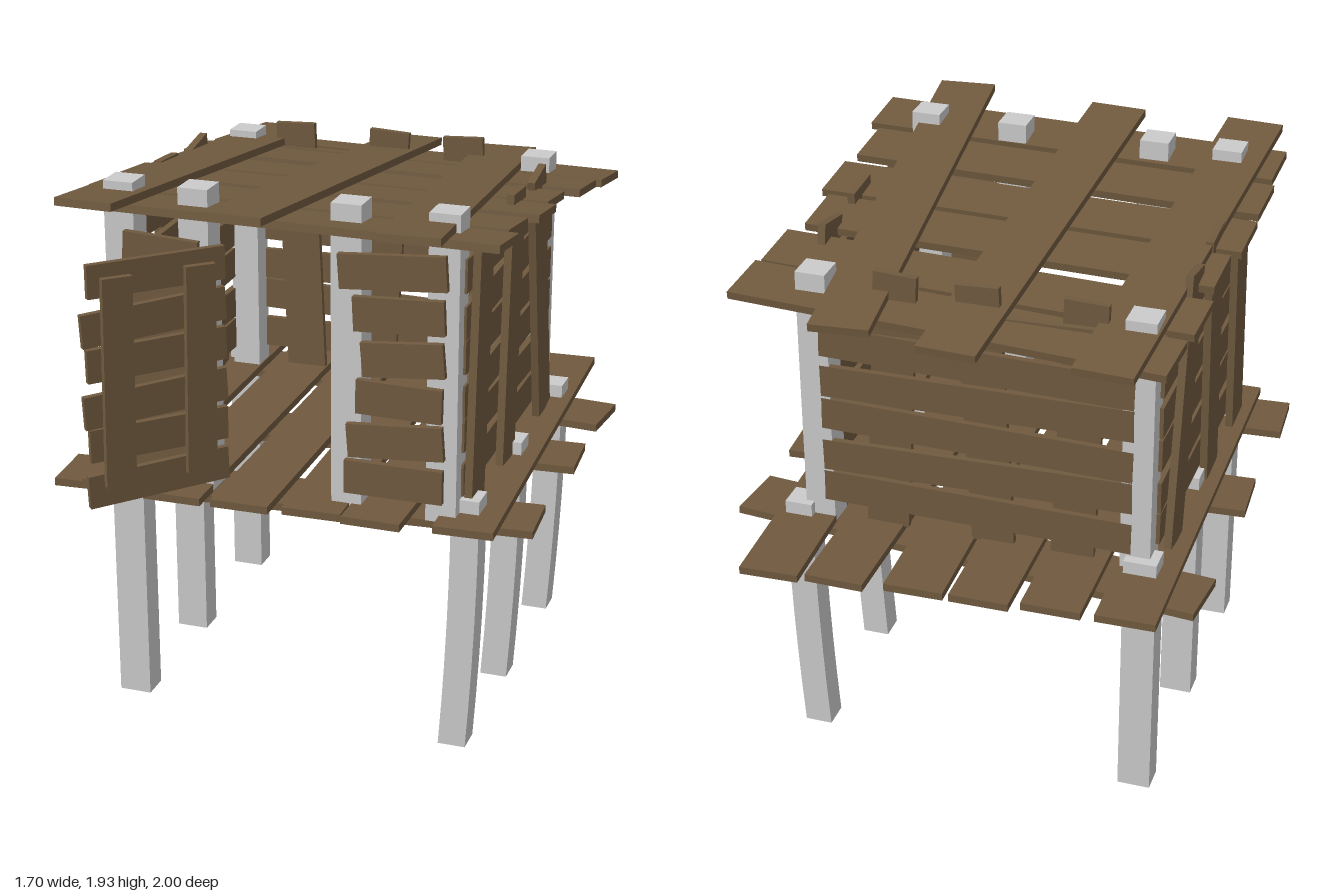
import * as THREE from 'three';

export function createModel() {
  const model = new THREE.Group();
  model.name = 'stiltHut';
  const wood = new THREE.MeshStandardMaterial({ color: 0x705a3f });
  wood.name = 'brown wood';
  const pale = new THREE.MeshStandardMaterial({ color: 0xcbcbcb });
  pale.name = 'pale post';

  const group = (name) => {
    const g = new THREE.Group();
    g.name = name;
    model.add(g);
    return g;
  };

  // A board running from a to b, its flat face turned towards "facing"
  function plank(parent, name, a, b, width, facing, thick = 0.027) {
    const A = new THREE.Vector3(...a), B = new THREE.Vector3(...b);
    const along = B.clone().sub(A);
    const length = along.length();
    along.normalize();
    const across = new THREE.Vector3(...facing).cross(along).normalize();
    const normal = along.clone().cross(across);
    const mesh = new THREE.Mesh(new THREE.BoxGeometry(width, thick, length), wood);
    mesh.quaternion.setFromRotationMatrix(new THREE.Matrix4().makeBasis(across, normal, along));
    mesh.position.copy(A).add(B).multiplyScalar(0.5);
    mesh.name = name;
    parent.add(mesh);
  }

  // Stilts: straight on the right side, bowed on the left
  const stilts = group('stilts');
  for (const side of [-1, 1]) {
    for (const z of [0.545, 0.005, -0.58]) {
      const geo = new THREE.BoxGeometry(side < 0 ? 0.115 : 0.097, 0.93, 0.097, 1, 6, 1);
      geo.translate(0, 0.465, 0);
      const p = geo.attributes.position;
      for (let i = 0; i < p.count; i++) {
        const t = 1 - p.getY(i) / 0.93;
        if (side > 0) p.setX(i, p.getX(i) - 0.033 * t * t);
      }
      geo.computeVertexNormals();
      const leg = new THREE.Mesh(geo, pale);
      leg.position.set(side * 0.612, 0, z - (side < 0 ? 0.008 : 0));
      leg.name = 'stilt';
      stilts.add(leg);
    }
  }

  // Wall posts, taller at the front
  const posts = group('wallPosts');
  for (const [x, z, top] of [[-0.585, 0.585, 1.925], [-0.32, 0.585, 1.925], [0.21, 0.585, 1.925],
    [0.54, 0.585, 1.925], [-0.585, -0.547, 1.81], [0.54, -0.547, 1.81]]) {
    const post = new THREE.Mesh(new THREE.BoxGeometry(0.105, top - 0.86, 0.105), pale);
    post.position.set(x, (top + 0.86) / 2, z);
    post.name = 'wallPost';
    posts.add(post);
  }

  // Floor: three cross beams under six deck boards
  const floor = group('floor');
  const up = [0, 1, 0];
  for (const [zl, zr] of [[0.595, 0.49], [0.02, -0.08], [-0.65, -0.49]]) {
    plank(floor, 'floorBeam', [-0.84, 0.842, zl], [0.84, 0.842, zr], 0.225, up);
  }
  for (const [xb, xf, zb, zf] of [[-0.635, -0.61, -0.9, 0.74], [-0.385, -0.37, -0.91, 0.77],
    [-0.145, -0.13, -0.935, 0.76], [0.08, 0.12, -0.94, 0.74], [0.35, 0.33, -0.97, 0.75],
    [0.575, 0.64, -0.99, 0.72]]) {
    plank(floor, 'deckBoard', [xb, 0.87, zb], [xf, 0.87, zf], 0.205, up);
  }

  // Sloping roof: six cross boards under three long boards
  const roof = group('roof');
  const slope = 0.098;
  const roofUp = [0, 1, -slope];
  for (const [xl, zl, xr, zr] of [[-0.72, -0.665, 0.8, -0.565], [-0.745, -0.42, 0.77, -0.35],
    [-0.735, -0.13, 0.72, -0.09], [-0.77, 0.105, 0.75, 0.145], [-0.77, 0.36, 0.72, 0.41],
    [-0.76, 0.605, 0.755, 0.65]]) {
    plank(roof, 'roofCrossBoard', [xl, 1.79 + slope * zl, zl], [xr, 1.79 + slope * zr, zr], 0.21, roofUp);
  }
  for (const [xb, zb, xf, zf] of [[-0.53, -0.85, -0.615, 0.85], [-0.02, -0.86, -0.105, 0.84],
    [0.355, -0.82, 0.495, 0.88]]) {
    plank(roof, 'roofLongBoard', [xb, 1.82 + slope * zb, zb], [xf, 1.82 + slope * zf, zf], 0.205, roofUp);
  }

  const rows = [1.0, 1.14, 1.28, 1.42, 1.555, 1.69];
  const tilts = [0.006, -0.012, 0.01, -0.006, 0.012, -0.014];

  // Back wall: level boards outside, upright battens inside
  const back = group('backWall');
  rows.forEach((y, i) => plank(back, 'backBoard', [-0.57, y - tilts[i], -0.59],
    [0.52, y + tilts[i], -0.59], 0.115, [0, 0, 1], 0.022));
  for (const [xb, xt] of [[-0.36, -0.4], [-0.08, -0.03], [0.3, 0.25]]) {
    plank(back, 'backBatten', [xb, 0.88, -0.568], [xt, 1.84, -0.568], 0.15, [0, 0, 1], 0.024);
  }

  // Side walls: level boards inside, leaning battens outside
  for (const side of [-1, 1]) {
    const wall = group(side > 0 ? 'leftWall' : 'rightWall');
    const x = side > 0 ? 0.615 : -0.665;
    const inner = x - side * 0.026;
    rows.forEach((y, i) => plank(wall, 'sideBoard', [inner, y + tilts[i], -0.53],
      [inner, y - tilts[i], 0.58], 0.115, [1, 0, 0], 0.024));
    for (const [zb, zt, top] of [[0.495, 0.435, 1.81], [0.105, 0.045, 1.845], [-0.4, -0.225, 1.83]]) {
      plank(wall, 'sideBatten', [x, 0.885, zb], [x, top, zt], 0.155, [1, 0, 0]);
    }
  }

  // Front wall: short ragged boards either side of the doorway
  const front = group('frontWall');
  const ragged = [[0.21, 0.99, 0.55, 0.99], [0.22, 1.12, 0.55, 1.145], [0.25, 1.28, 0.545, 1.275],
    [0.27, 1.41, 0.55, 1.435], [0.24, 1.565, 0.55, 1.58], [0.19, 1.705, 0.555, 1.73]];
  for (const [x0, y0, x1, y1] of ragged) {
    plank(front, 'frontBoard', [x0, y0, 0.65], [x1, y1, 0.65], 0.118, [0, 0, 1], 0.024);
    plank(front, 'frontBoard', [-0.3, y0 - 0.01, 0.65], [-x1 - 0.01, y1 - 0.02, 0.65], 0.11, [0, 0, 1], 0.024);
  }

  // Door standing open at an angle, ledged by two uprights
  const door = group('door');
  door.position.set(-0.205, 0, 0.635);
  door.rotation.y = -Math.PI * 0.75;
  const ends = [0.51, 0.5, 0.515, 0.5, 0.515, 0.49];
  [0.965, 1.11, 1.25, 1.395, 1.535, 1.675].forEach((y, i) => plank(door, 'doorBoard',
    [0.01, y + 0.015, 0], [ends[i], y - tilts[i], 0], 0.115, [0, 0, 1], 0.022));
  for (const x of [0.115, 0.405]) {
    plank(door, 'doorUpright', [x, 0.975, -0.023], [x - 0.01, 1.7, -0.023], 0.105, [0, 0, 1], 0.024);
  }

  return model;
}
